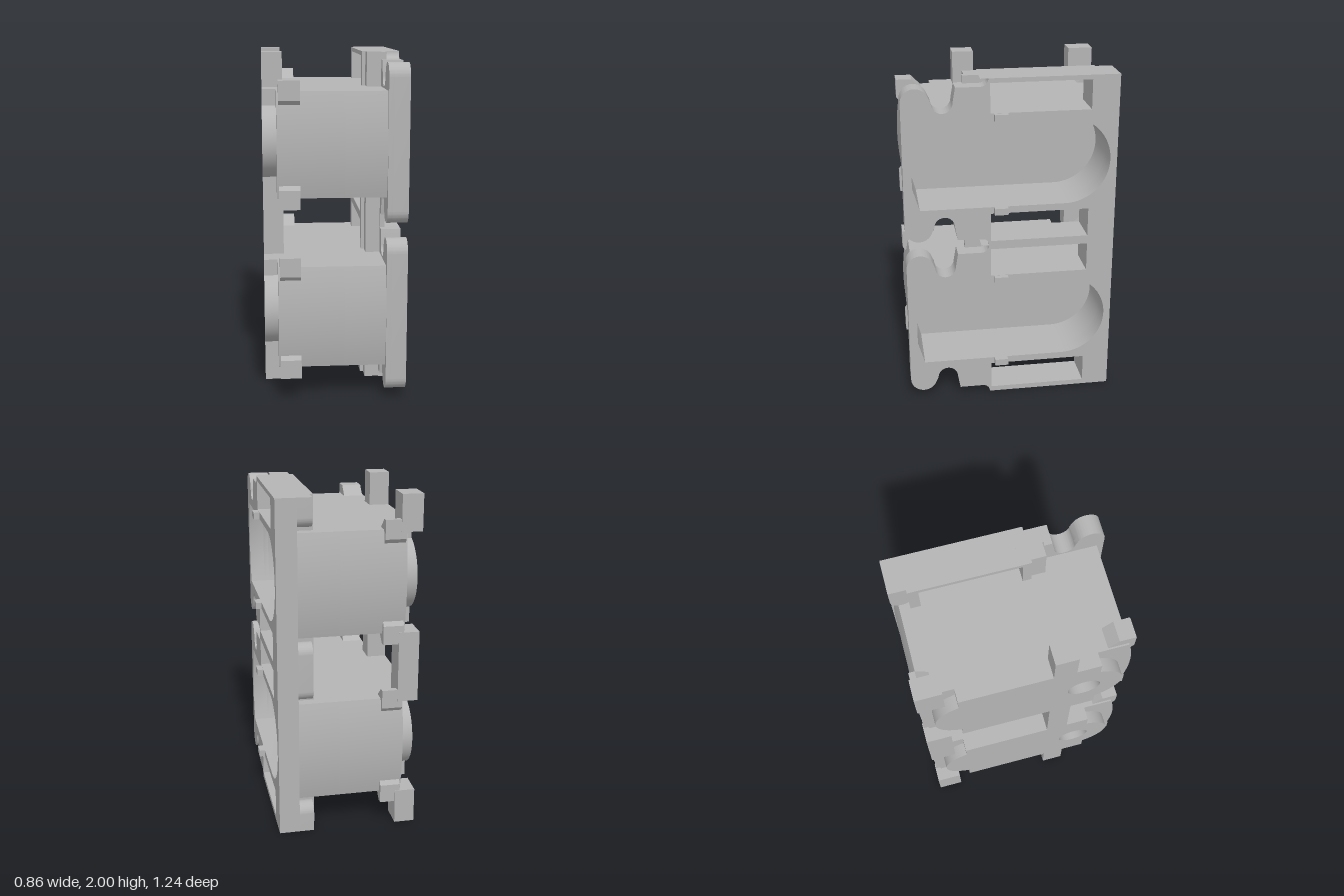
import * as THREE from 'three';
import { toCreasedNormals } from 'three/addons/utils/BufferGeometryUtils.js';

const PI = Math.PI;

export function createModel() {
  const model = new THREE.Group();
  const grey = new THREE.MeshStandardMaterial({ color: 0xb4b4b4 });
  grey.name = 'plain grey';

  const add = (name, geometry) => {
    const mesh = new THREE.Mesh(geometry, grey);
    mesh.name = name;
    model.add(mesh);
  };
  // Profiles are drawn in (s, y) with s = -z, and extruded along x from x0 to x1
  const extrude = (name, shape, x0, x1) => {
    const g = new THREE.ExtrudeGeometry(shape, { depth: x1 - x0, bevelEnabled: false, curveSegments: 16 });
    g.rotateY(PI / 2).translate(x0, 0, 0);
    add(name, toCreasedNormals(g, 0.6));
  };
  const box = (name, x0, x1, y0, y1, z0, z1) => {
    const g = new THREE.BoxGeometry(x1 - x0, y1 - y0, z1 - z0);
    add(name, g.translate((x0 + x1) / 2, (y0 + y1) / 2, (z0 + z1) / 2));
  };
  const poly = (pts) => new THREE.Shape(pts.map(([s, y]) => new THREE.Vector2(s, y)));
  const rect = (s0, s1, y0, y1) => poly([[s0, y0], [s1, y0], [s1, y1], [s0, y1]]);

  const centres = [1.5, 0.5];
  const windows = [[1.8, 1.975], [1.025, 1.2], [0.8, 0.975], [0.03, 0.2]];
  const bands = [[1.8, 2], [0.8, 1.2], [0, 0.2]];

  // Cup opening: slightly bowed front, round rear
  const cavity = (cy) => {
    const p = new THREE.Path();
    p.moveTo(-0.53, cy - 0.26);
    p.lineTo(0.32, cy - 0.26);
    p.absarc(0.32, cy, 0.26, -PI / 2, PI / 2, false);
    p.lineTo(-0.53, cy + 0.26);
    p.lineTo(-0.57, cy + 0.12);
    p.lineTo(-0.57, cy - 0.12);
    p.closePath();
    return p;
  };
  // Cup outside: flat top and bottom, bowed ends
  const cupOutline = (cy) => {
    const s = new THREE.Shape();
    s.moveTo(-0.58, cy - 0.3);
    s.lineTo(0.58, cy - 0.3);
    s.quadraticCurveTo(0.65, cy, 0.58, cy + 0.3);
    s.lineTo(-0.58, cy + 0.3);
    s.quadraticCurveTo(-0.65, cy, -0.58, cy - 0.3);
    return s;
  };
  // Mounting plate outline with hooked front edge
  const plateOutline = (slotted) => {
    const s = new THREE.Shape();
    s.moveTo(0.62, 0);
    s.lineTo(0.62, 2);
    for (const cy of centres) {
      const top = cy + 0.5, bottom = cy - 0.5;
      if (slotted) {
        s.lineTo(-0.175, top);
        if (cy > 1) s.lineTo(-0.13, top);
        s.absarc(-0.175, top, 0.045, 0, -PI / 2, true);
      } else {
        s.lineTo(-0.265, top);
        s.lineTo(-0.265, top - 0.045);
      }
      s.lineTo(-0.315, top - 0.045);
      s.lineTo(-0.33, cy + 0.37);
      s.absarc(-0.39, cy + 0.37, 0.06, 0, -PI, true);
      s.absarc(-0.54, cy + 0.375, 0.08, 0.35, PI, false);
      s.absarc(-0.54, cy - 0.375, 0.08, PI, 2 * PI - 0.35, false);
      s.absarc(-0.39, cy - 0.37, 0.06, PI, 0, true);
      s.lineTo(-0.315, bottom + 0.045);
      if (slotted) {
        s.lineTo(-0.175, bottom + 0.045);
        s.absarc(-0.175, bottom, 0.045, PI / 2, 0, true);
      } else {
        s.lineTo(-0.265, bottom + 0.045);
        s.lineTo(-0.265, bottom);
      }
    }
    s.closePath();
    for (const cy of centres) s.holes.push(cavity(cy));
    for (const [y0, y1] of windows) s.holes.push(rect(-0.12, 0.46, y0 + 0.001, y1 - 0.001));
    return s;
  };
  extrude('plateBack', plateOutline(false), 0.27, 0.3);
  extrude('plateFace', plateOutline(true), 0.3, 0.39);

  // Deeper frames around the windows, behind the plate
  for (const [y0, y1] of bands) {
    for (const [name, s0, s1, x] of [['windowFrame', -0.255, 0.5, 0.185], ['windowRim', -0.17, 0.52, 0.165]]) {
      // Side bars
      box(name, x, 0.27, y0, y1, 0.12, -s0);
      box(name, x, 0.27, y0, y1, -s1, -0.46);
    }
    // Cross bar
    const b0 = y0 === 0 ? 0 : y0 > 1 ? 1.975 : 0.975;
    const b1 = y0 === 0 ? 0.03 : y0 > 1 ? 2 : 1.025;
    box('windowBar', 0.165, 0.27, b0, b1, -0.46, 0.12);
    // Rear pads with rounded ends
    const lo = y0 === 0 ? 0 : y0 + 0.03, hi = y1 === 2 ? 2 : y1 - 0.03;
    const pad = new THREE.Shape();
    pad.moveTo(0.5, lo);
    if (lo === 0) pad.lineTo(0.62, 0);
    else pad.absarc(0.56, lo + 0.06, 0.06, -PI, 0, false);
    if (hi === 2) pad.lineTo(0.62, 2);
    else pad.absarc(0.56, hi - 0.06, 0.06, 0, PI, false);
    pad.lineTo(0.5, hi);
    extrude('rearPad', pad, 0.185, 0.27);
    // Spacer posts at the closed side
    const p0 = y0 === 0 ? 0 : y0 - 0.01, p1 = y1 === 2 ? 2 : y1 + 0.01;
    box('middlePost', -0.43, -0.31, p0, p1, 0.13, 0.26);
    box('rearPost', -0.43, -0.31, p0, p1, -0.62, -0.47);
  }

  for (const cy of centres) {
    // Cup walls and solid base
    const wall = cupOutline(cy);
    wall.holes.push(cavity(cy));
    extrude('cupWall', wall, 0.03, 0.27);
    extrude('cupBase', cupOutline(cy), -0.35, 0.03);

    // Raised slab with rounded ends and a round socket
    const slab = new THREE.Shape();
    const a = Math.atan2(0.205, 0.0724);
    slab.moveTo(-0.4, cy - 0.3);
    slab.lineTo(0.4, cy - 0.3);
    slab.absarc(0.3276, cy, 0.2174, -a, a, false);
    slab.lineTo(0.4, cy + 0.3);
    slab.lineTo(-0.4, cy + 0.3);
    slab.absarc(-0.3276, cy, 0.2174, PI - a, PI + a, false);
    slab.closePath();
    const socket = new THREE.Path();
    socket.absarc(-0.32, cy, 0.095, 0, 2 * PI, true);
    slab.holes.push(socket);
    extrude('endSlab', slab, -0.43, -0.35);

    for (const v of [1, -1]) {
      // Corner clips, front and rear
      for (const [e, z0, z1] of [[-1, 0.46, 0.52], [1, 0.51, 0.58]]) {
        const pts = [[z0, 0.3], [z1, 0.36], [0.615, 0.36], [0.615, 0.25], [0.59, 0.22], [z0, 0.22]];
        extrude('cornerClip', poly(pts.map(([z, y]) => [e * z, cy + v * y])), -0.34, -0.22);
      }
      // Small tabs on the plate face
      const y = cy + v * 0.28;
      box('plateTab', 0.38, 0.425, y - 0.02, y + 0.02, 0.02, 0.1);
    }
  }
  return model;
}
